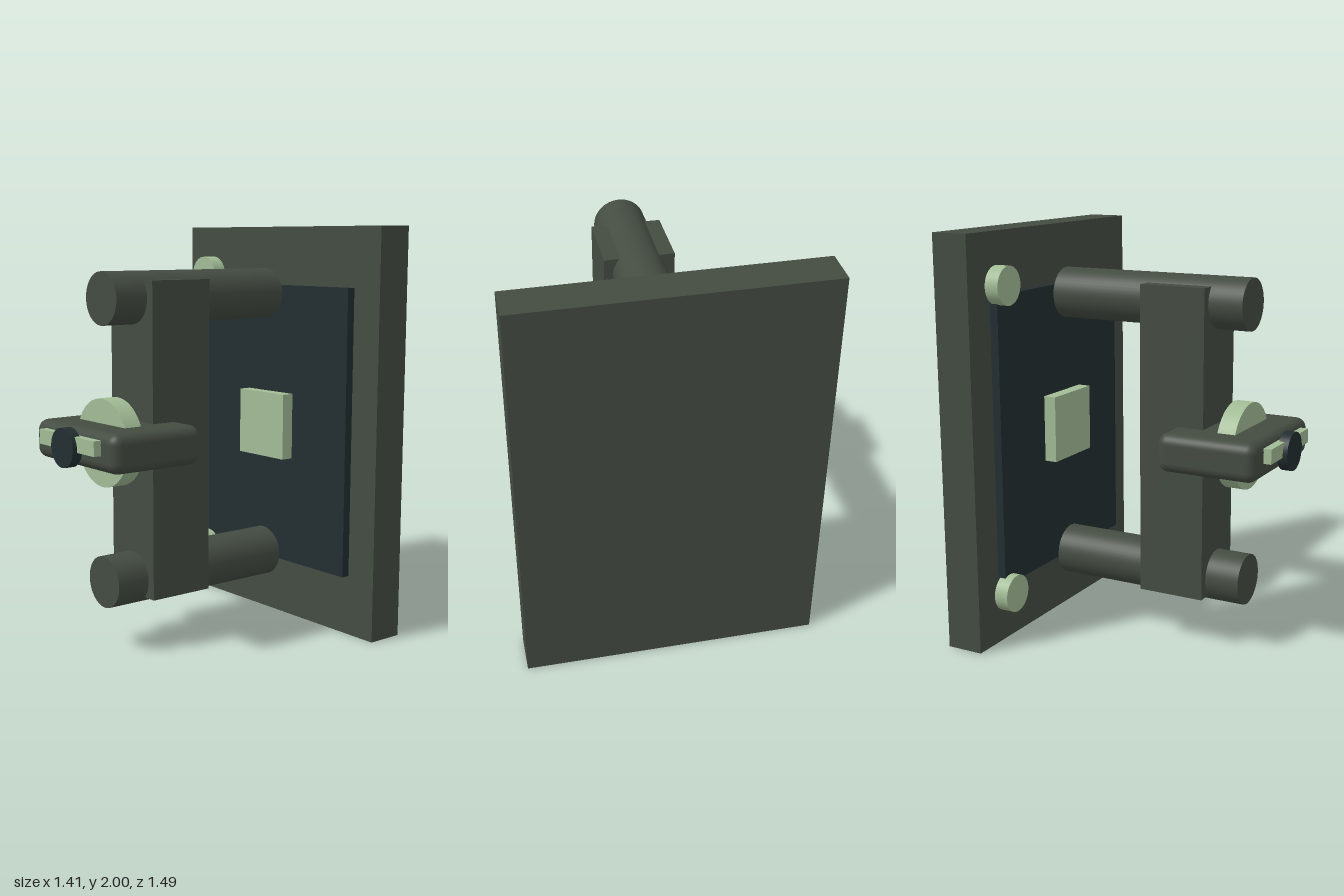
import * as THREE from 'three';
import { RoundedBoxGeometry } from 'three/addons/geometries/RoundedBoxGeometry.js';

export function createModel() {
  const model = new THREE.Group();
  model.name = 'panelWithHandle';

  const material = (name, color) => {
    const m = new THREE.MeshStandardMaterial({ color });
    m.name = name;
    return m;
  };
  const olive = material('darkOlive', 0x444c42);
  const slate = material('darkSlate', 0x232e30);
  const sage = material('paleSage', 0xa2bc96);

  const add = (name, geometry, mat, x, y, z) => {
    const mesh = new THREE.Mesh(geometry, mat);
    mesh.name = name;
    mesh.position.set(x, y, z);
    model.add(mesh);
    return mesh;
  };
  // Box or forward-facing cylinder spanning z0 to z1
  const box = (name, mat, w, h, y, z0, z1) =>
    add(name, new THREE.BoxGeometry(w, h, z1 - z0), mat, 0, y, (z0 + z1) / 2);
  const disc = (name, mat, r, x, y, z0, z1) =>
    add(name, new THREE.CylinderGeometry(r, r, z1 - z0, 48).rotateX(Math.PI / 2), mat, x, y, (z0 + z1) / 2);

  // Back plate with its inset panel and raised pad
  box('backPlate', olive, 1.412, 2, 1, -0.745, -0.56);
  box('innerPanel', slate, 1.082, 1.412, 1.003, -0.57, -0.518);
  box('centrePad', sage, 0.33, 0.33, 1.003, -0.52, -0.455);

  // Upper and lower: corner button and standoff post
  for (const [level, buttonY, postY] of [['upper', 1.753, 1.67], ['lower', 0.253, 0.336]]) {
    disc(level + 'Button', sage, 0.092, -0.5, buttonY, -0.548, -0.477);
    disc(level + 'Post', olive, 0.124, 0, postY, -0.478, 0.523);
  }

  // Upright bar joining the posts
  box('uprightBar', olive, 0.33, 1.5, 1.003, 0.022, 0.354);

  // Rounded grip with dial, strip and knob
  add('grip', new RoundedBoxGeometry(0.663, 0.184, 0.496, 5, 0.05), olive, 0, 1.003, 0.438);
  disc('dial', sage, 0.208, 0, 1.003, 0.437, 0.526);
  box('frontStrip', sage, 0.456, 0.07, 1.026, 0.675, 0.723);
  disc('knob', slate, 0.092, 0, 1.003, 0.696, 0.745);

  return model;
}
